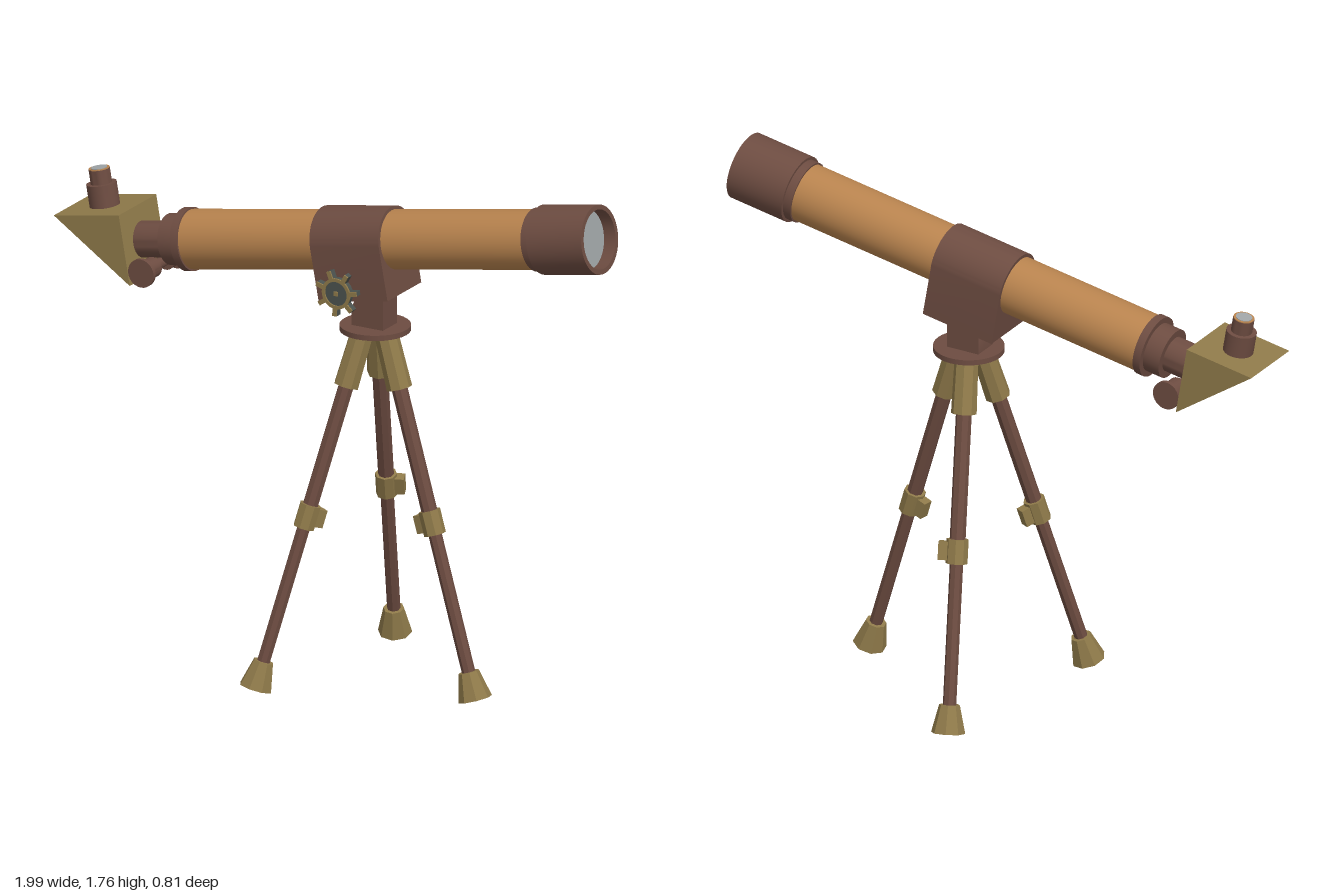
import * as THREE from 'three';
import { toCreasedNormals } from 'three/addons/utils/BufferGeometryUtils.js';

const material = (name, color) => {
  const m = new THREE.MeshStandardMaterial({ color });
  m.name = name;
  return m;
};

export function createModel() {
  const brown = material('dark brown', 0x6d4c41);
  const wood = material('warm wood', 0xb8834e);
  const brass = material('old brass', 0x8f7a4a);
  const glass = material('lens grey', 0xa0a5a7);
  const iron = material('dark iron', 0x4b524e);

  const model = new THREE.Group();
  model.name = 'telescope';

  const add = (parent, name, geometry, mat, x = 0, y = 0, z = 0) => {
    const mesh = new THREE.Mesh(toCreasedNormals(geometry, 0.5), mat);
    mesh.name = name;
    mesh.position.set(x, y, z);
    parent.add(mesh);
    return mesh;
  };
  // Cylinders along x and z
  const cylX = (r, x0, x1) =>
    new THREE.CylinderGeometry(r, r, x1 - x0, 40).rotateZ(-Math.PI / 2).translate((x0 + x1) / 2, 0, 0);
  const cylZ = (r, z0, z1, sides = 24) =>
    new THREE.CylinderGeometry(r, r, z1 - z0, sides).rotateX(Math.PI / 2).translate(0, 0, (z0 + z1) / 2);
  const lathe = (pts, sides) => new THREE.LatheGeometry(pts.map(p => new THREE.Vector2(...p)), sides);
  const polygon = pts => new THREE.Shape(pts.map(p => new THREE.Vector2(...p)));
  const extrude = (shape, depth) =>
    new THREE.ExtrudeGeometry(shape, { depth, bevelEnabled: false, curveSegments: 24 }).translate(0, 0, -depth / 2);

  // Optical tube, tilted upward; local x is its axis
  const scope = new THREE.Group();
  scope.name = 'opticalTube';
  scope.position.set(0.1, 1.495, 0.018);
  scope.rotation.z = THREE.MathUtils.degToRad(10);
  model.add(scope);

  add(scope, 'mainTube', cylX(0.098, -0.67, 0.8), wood);
  add(scope, 'hoodCollar', cylX(0.104, 0.652, 0.7), brown);
  const hood = lathe([[0.09, 0.68], [0.114, 0.68], [0.114, 0.889], [0.098, 0.889], [0.098, 0.8], [0.09, 0.8]], 40);
  add(scope, 'lensHood', hood.rotateZ(-Math.PI / 2), brown);
  add(scope, 'frontLens', cylX(0.098, 0.83, 0.845), glass);
  add(scope, 'rearFlange', cylX(0.104, -0.682, -0.655), brown);
  add(scope, 'rearBarrel', cylX(0.084, -0.742, -0.68), brown);
  add(scope, 'focuserTube', cylX(0.06, -0.87, -0.74), brown);

  // Saddle with an arched top
  const arch = polygon([[-0.108, -0.177], [0.108, -0.177], [0.108, 0]]);
  arch.absarc(0, 0, 0.11, 0, Math.PI);
  arch.closePath();
  add(scope, 'saddle', extrude(arch, 0.262).rotateY(Math.PI / 2), brown, -0.016, 0, 0);

  // Diagonal prism and eyepiece
  add(scope, 'diagonalPrism', extrude(polygon([[-1.096, 0.115], [-0.849, -0.123], [-0.849, 0.115]]), 0.24), brass);
  const eyepiece = new THREE.Group();
  eyepiece.name = 'eyepiece';
  eyepiece.position.set(-0.973, 0.11, 0);
  scope.add(eyepiece);
  add(eyepiece, 'eyepieceBarrel', new THREE.CylinderGeometry(0.05, 0.05, 0.08, 28), brown, 0, 0.04, 0);
  add(eyepiece, 'eyepieceTop', new THREE.CylinderGeometry(0.035, 0.035, 0.05, 28), brown, 0, 0.103, 0);
  add(eyepiece, 'eyepieceRim', new THREE.CylinderGeometry(0.034, 0.034, 0.004, 28), wood, 0, 0.129, 0);
  add(eyepiece, 'eyepieceLens', new THREE.CylinderGeometry(0.027, 0.027, 0.004, 28), glass, 0, 0.131, 0);

  // Focus knobs on a cross axle
  const focus = new THREE.Group();
  focus.name = 'focusKnobs';
  focus.position.set(-0.675, 1.275, 0.018);
  model.add(focus);
  add(focus, 'axle', cylZ(0.018, -0.1, 0.1), brown);
  for (const s of [-1, 1]) {
    add(focus, 'knob', cylZ(0.034, -0.03, 0.03), brown, 0, 0, s * 0.07);
    add(focus, 'knobDisc', cylZ(0.048, -0.007, 0.007), brown, 0, 0, s * 0.11);
  }

  // Toothed hand wheel on the front side of the saddle
  const wheel = new THREE.Group();
  wheel.name = 'handWheel';
  wheel.position.set(0.07, 1.345, 0.12);
  model.add(wheel);
  add(wheel, 'wheelShaft', cylZ(0.02, -0.02, 0.02), iron);
  add(wheel, 'wheelBody', cylZ(0.05, 0.014, 0.036), iron);
  add(wheel, 'wheelRing', extrude(ringShape(0.052, 0.041), 0.006), brass, 0, 0, 0.038);
  add(wheel, 'wheelHub', new THREE.BoxGeometry(0.014, 0.014, 0.008), brass, 0, 0, 0.038);
  const teeth = 7;
  for (let i = 0; i < teeth; i++) {
    const a = (i / teeth) * Math.PI * 2 + 0.15;
    const x = Math.cos(a) * 0.062, y = Math.sin(a) * 0.062;
    add(wheel, 'tooth', new THREE.BoxGeometry(0.03, 0.015, 0.022), iron, x, y, 0.025).rotation.z = a;
    add(wheel, 'toothFace', new THREE.BoxGeometry(0.03, 0.015, 0.005), brass, x, y, 0.0385).rotation.z = a;
  }

  // Mount neck and round plate
  const neck = polygon([[0.072, 1.2], [0.19, 1.2], [0.19, 1.36], [0.115, 1.36], [0.072, 1.27]]);
  add(model, 'mountNeck', extrude(neck, 0.092), brown, 0, 0, 0.018);
  add(model, 'mountPlate', new THREE.CylinderGeometry(0.116, 0.116, 0.018, 32), brown, 0.135, 1.202, 0.018);

  // Tripod legs: [direction, clamp direction] in degrees
  const tilt = THREE.MathUtils.degToRad(17.5);
  for (const [angle, clampAngle] of [[8.5, 180], [128.5, 170], [248.5, 90]]) {
    const turn = new THREE.Group();
    turn.name = 'tripodLeg';
    turn.position.set(0.135, 1.18, 0.018);
    turn.rotation.y = -THREE.MathUtils.degToRad(angle);
    model.add(turn);
    const leg = new THREE.Group();
    leg.name = 'legAssembly';
    leg.position.x = 0.048;
    leg.rotation.z = tilt;
    turn.add(leg);

    const rod = (name, top, bottom, y0, y1, mat) =>
      add(leg, name, new THREE.CylinderGeometry(top, bottom, y0 - y1, 8), mat, 0, (y0 + y1) / 2, 0);
    rod('legSleeve', 0.039, 0.042, 0.012, -0.175, brass);
    rod('upperRod', 0.026, 0.026, -0.17, -0.63, brown);
    rod('lowerRod', 0.022, 0.022, -0.62, -1.15, brown);
    rod('legCollar', 0.036, 0.036, -0.585, -0.665, brass);
    const clamp = new THREE.BoxGeometry(0.06, 0.06, 0.035).translate(0.03, 0, 0);
    add(leg, 'collarClamp', clamp, brass, 0, -0.625, 0).rotation.y = -THREE.MathUtils.degToRad(clampAngle);
    // Flared foot with a hollow underside
    const foot = [[0, -1.185], [0.042, -1.219], [0.056, -1.219], [0.034, -1.127], [0, -1.127]];
    add(leg, 'foot', lathe(foot, 8), brass);
  }
  return model;
}

// Flat ring outline
function ringShape(outer, inner) {
  const shape = new THREE.Shape().absarc(0, 0, outer, 0, Math.PI * 2);
  shape.holes.push(new THREE.Path().absarc(0, 0, inner, 0, Math.PI * 2, true));
  return shape;
}
